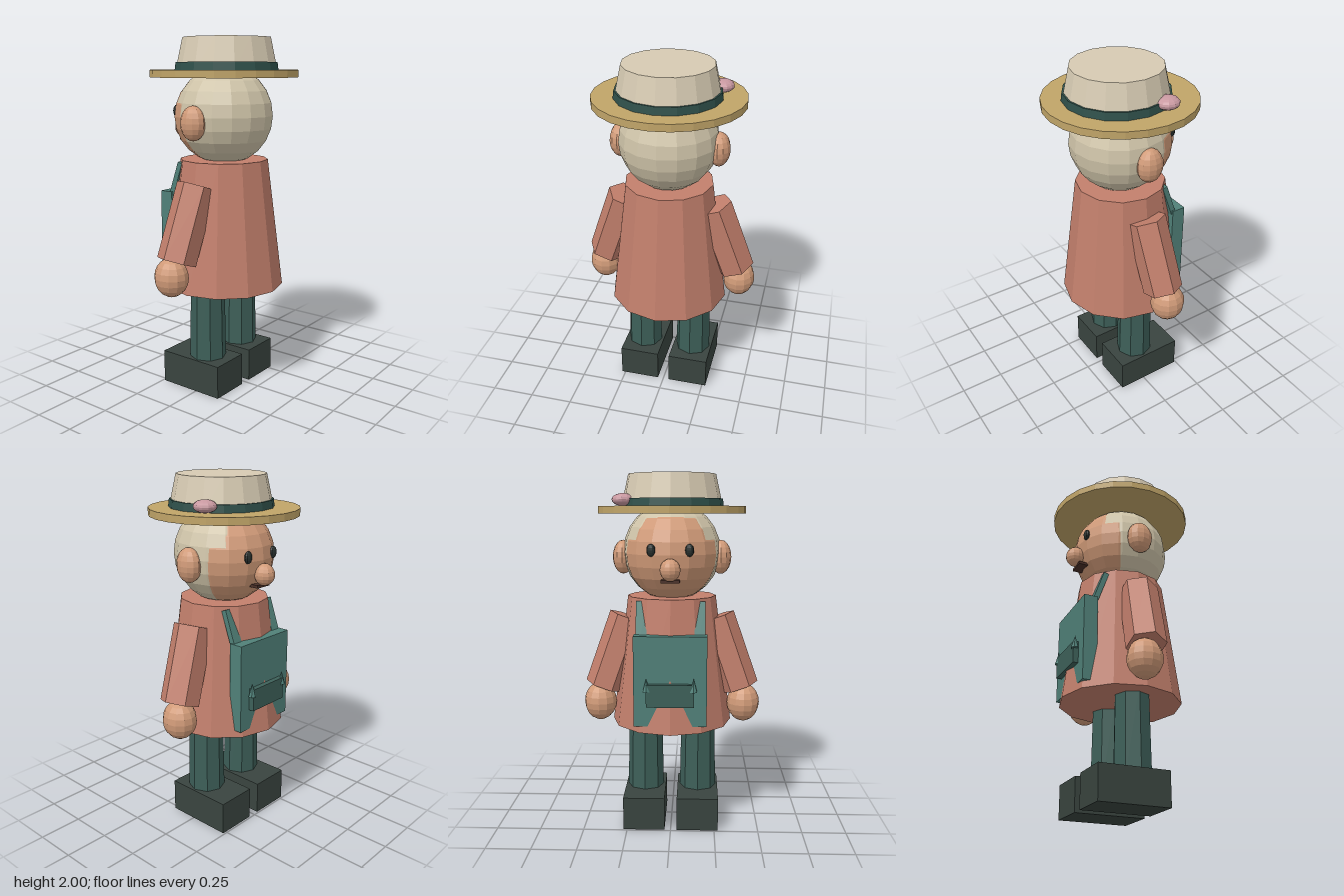
import * as THREE from 'three';

const COLORS = {
  skin: 0xd09a78, hair: 0xcfc4a9, coat: 0xc27f6c, leg: 0x3d5f58, shoe: 0x39443f,
  brim: 0xc0a468, crown: 0xd6cab2, band: 0x2f504a, bobble: 0xc898a0,
  bag: 0x508078, pocket: 0x3d6059, dark: 0x28302e, mouth: 0x4a3028,
};
const materials = {};
for (const key in COLORS) {
  materials[key] = new THREE.MeshStandardMaterial({ color: COLORS[key], flatShading: true });
}

export function createModel() {
  const model = new THREE.Group();
  model.name = 'figure';

  const add = (name, geometry, color, x, y, z) => {
    const mesh = new THREE.Mesh(geometry, materials[color]);
    mesh.name = name;
    mesh.position.set(x, y, z);
    model.add(mesh);
    return mesh;
  };
  const box = (name, color, w, h, d, x, y, z) =>
    add(name, new THREE.BoxGeometry(w, h, d), color, x, y, z);
  const ball = (name, color, rx, ry, rz, x, y, z, seg = 12, rows = 10) =>
    add(name, new THREE.SphereGeometry(1, seg, rows).scale(rx, ry, rz), color, x, y, z);
  // Upright drum between two heights
  const drum = (name, color, rTop, rBottom, y0, y1, sides, x = 0, z = 0) =>
    add(name, new THREE.CylinderGeometry(rTop, rBottom, y1 - y0, sides), color, x, (y0 + y1) / 2, z);

  // Coat
  drum('coat', 'coat', 0.25, 0.343, 0.6, 1.33, 12);

  // Head: the hair ball overlaps the face ball, which looks towards -z
  ball('hair', 'hair', 0.275, 0.275, 0.275, 0, 1.575, 0.005, 16, 12);
  ball('face', 'skin', 0.265, 0.265, 0.265, 0, 1.569, -0.018, 16, 12);
  ball('nose', 'skin', 0.055, 0.06, 0.058, 0, 1.493, -0.29);
  box('mouth', 'mouth', 0.1, 0.016, 0.06, 0, 1.432, -0.255);

  // Hat
  drum('hatBrim', 'brim', 0.413, 0.413, 1.785, 1.825, 24);
  drum('hatCrown', 'crown', 0.245, 0.285, 1.82, 2, 16, 0, 0.02);
  drum('hatBand', 'band', 0.284, 0.29, 1.82, 1.867, 16, 0, 0.02);
  ball('hatBobble', 'bobble', 0.062, 0.034, 0.064, 0.262, 1.86, -0.108);

  // Satchel worn at the -z side
  box('bag', 'bag', 0.4, 0.5, 0.08, 0, 0.89, -0.265);
  box('bagPocket', 'pocket', 0.26, 0.125, 0.05, 0, 0.818, -0.31);

  for (const s of [-1, 1]) {
    const side = s > 0 ? 'left' : 'right';

    ball(side + 'Ear', 'skin', 0.06, 0.095, 0.075, s * 0.275, 1.545, 0);
    ball(side + 'Eye', 'dark', 0.024, 0.034, 0.018, s * 0.102, 1.595, -0.262, 10, 8);

    // Six-sided sleeve slanting outwards, with a round hand
    const top = new THREE.Vector3(s * 0.25, 1.205, 0);
    const end = new THREE.Vector3(s * 0.393, 0.8, -0.028);
    const sleeve = new THREE.CylinderGeometry(0.11, 0.11, top.distanceTo(end), 6, 1, false, Math.PI / 2);
    const arm = add(side + 'Arm', sleeve, 'coat', 0, 0, 0);
    arm.position.lerpVectors(top, end, 0.5);
    arm.quaternion.setFromUnitVectors(new THREE.Vector3(0, 1, 0), top.sub(end).normalize());
    ball(side + 'Hand', 'skin', 0.093, 0.11, 0.098, s * 0.413, 0.715, -0.048);

    // Leg and shoe
    drum(side + 'Leg', 'leg', 0.097, 0.106, 0.15, 0.65, 8, s * 0.154, 0);
    box(side + 'Shoe', 'shoe', 0.236, 0.19, 0.4, s * 0.153, 0.095, -0.04);

    // Bag strap leaning against the coat, and the pocket clasp
    const strap = box(side + 'BagStrap', 'bag', 0.06, 0.34, 0.03, s * 0.16, 1.15, -0.226);
    strap.rotation.x = 0.34;
    add(side + 'PocketClasp', new THREE.ConeGeometry(0.022, 0.075, 6), 'bag', s * 0.128, 0.878, -0.325);
  }
  return model;
}
